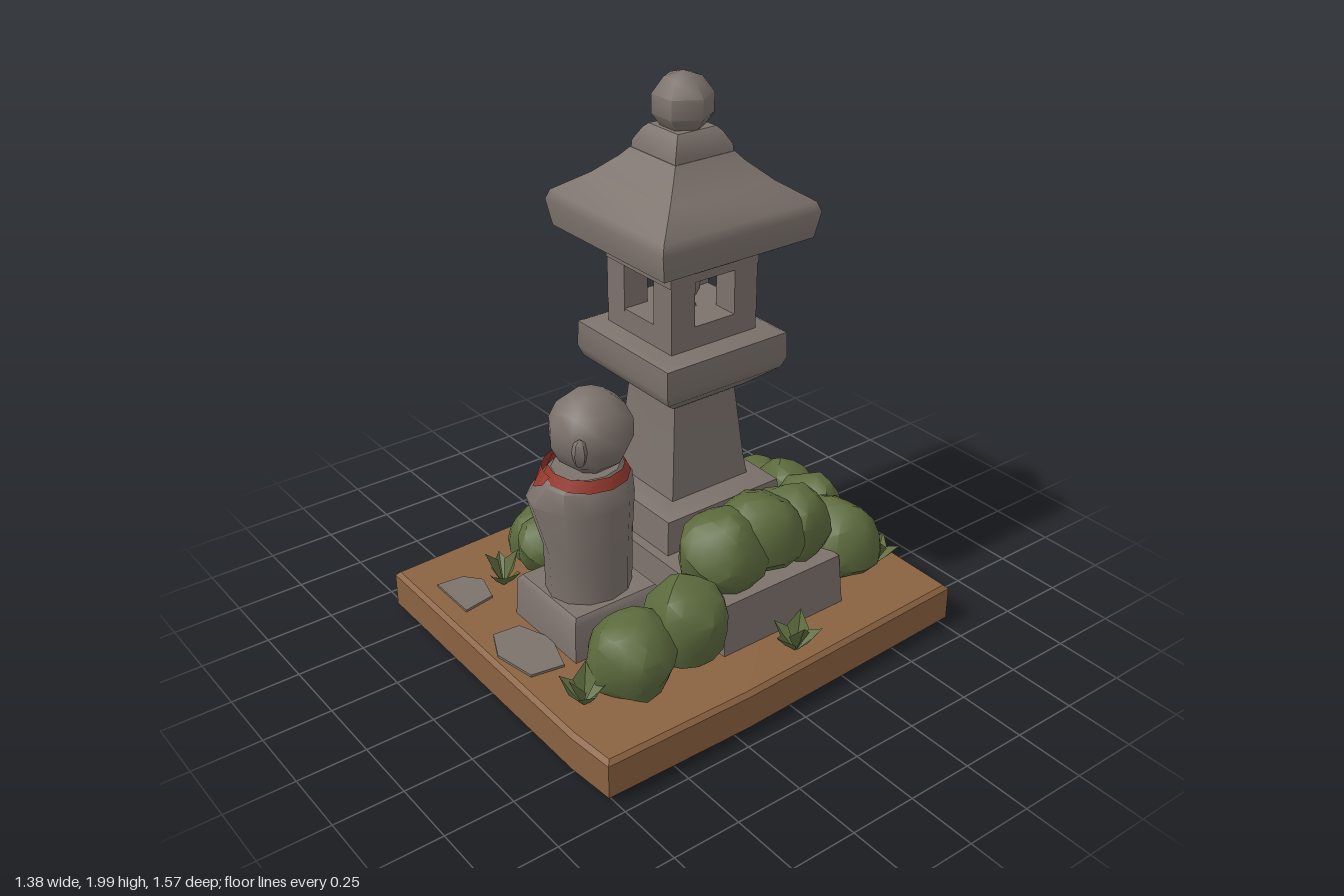
import * as THREE from 'three';
import { toCreasedNormals } from 'three/addons/utils/BufferGeometryUtils.js';

const stone = new THREE.MeshStandardMaterial({ color: 0x7c726c });
const leaf = new THREE.MeshStandardMaterial({ color: 0x5c6a3d });
const soil = new THREE.MeshStandardMaterial({ color: 0x8a6241 });
const cloth = new THREE.MeshStandardMaterial({ color: 0x95392d, side: THREE.DoubleSide });
const leafBlade = new THREE.MeshStandardMaterial({ color: 0x5c6a3d, side: THREE.DoubleSide });
stone.name = 'stone';
leaf.name = 'moss green';
soil.name = 'soil';
cloth.name = 'red cloth';
leafBlade.name = 'leaf blade';

const GROUND = 0.165;

export function createModel() {
  const model = new THREE.Group();
  model.name = 'gardenShrine';

  const add = (parent, name, geo, mat, x = 0, y = 0, z = 0, crease = 0.65) => {
    const mesh = new THREE.Mesh(toCreasedNormals(geo, crease), mat);
    mesh.name = name;
    mesh.position.set(x, y, z);
    parent.add(mesh);
    return mesh;
  };

  // Stack of square sections given as [half width, y]
  const squareStack = (sections) => {
    const pts = [[0, sections[0][1]], ...sections, [0, sections.at(-1)[1]]];
    return new THREE.LatheGeometry(
      pts.map(([h, y]) => new THREE.Vector2(h * Math.SQRT2, y)), 4, Math.PI / 4);
  };

  // Move every vertex by a rule
  const warp = (geo, rule) => {
    const p = geo.attributes.position;
    const v = new THREE.Vector3();
    for (let i = 0; i < p.count; i++) {
      rule(v.fromBufferAttribute(p, i));
      p.setXYZ(i, v.x, v.y, v.z);
    }
    return geo;
  };

  // Flat polygon with thickness, outline given as [x, z]
  const plate = (outline, height, bevel = 0) => {
    const shape = new THREE.Shape(outline.map(([x, z]) => new THREE.Vector2(x, -z)));
    return new THREE.ExtrudeGeometry(shape, {
      depth: height - 2 * bevel, bevelEnabled: bevel > 0, bevelSize: bevel,
      bevelThickness: bevel, bevelOffset: -bevel, bevelSegments: 1,
    }).rotateX(-Math.PI / 2).translate(0, bevel, 0);
  };

  // Soil base
  add(model, 'soilBase', plate([[-0.68, -0.72], [-0.15, -0.785], [0.65, -0.775], [0.69, 0.2],
    [0.685, 0.765], [0.5, 0.78], [-0.65, 0.775], [-0.69, -0.3]], 0.155, 0.015), soil, 0, 0.01, 0);

  // Flat stones set in the soil
  const pavers = [
    [[-0.63, -0.6], [-0.55, -0.64], [-0.42, -0.6], [-0.36, -0.54], [-0.46, -0.46], [-0.52, -0.4], [-0.59, -0.48]],
    [[-0.08, 0.6], [0.05, 0.55], [0.2, 0.6], [0.18, 0.72], [0.02, 0.75], [-0.09, 0.7]],
    [[-0.46, 0.6], [-0.4, 0.55], [-0.29, 0.58], [-0.27, 0.7], [-0.47, 0.7]],
    [[0.18, 0.2], [0.28, 0.42], [0.2, 0.42]],
  ];
  pavers.forEach((o) => add(model, 'flatStone', plate(o, 0.012), stone, 0, GROUND - 0.003, 0));

  // Stone steps under the lantern
  const slab = new THREE.BoxGeometry(0.98, 0.19, 0.54);
  warp(slab, (v) => { if (v.y > 0) { v.x *= 0.97; v.z *= 0.96; } });
  add(model, 'lowerStep', slab, stone, -0.005, 0.26, -0.13);
  add(model, 'upperStep', squareStack([[0.265, 0.33], [0.25, 0.48], [0.2, 0.5]]), stone, -0.155, 0, -0.17);
  add(model, 'stepMoss', plate([[-0.2, 0.1], [0.16, 0.1], [0.19, 0.18], [-0.17, 0.19]], 0.03), leaf, 0, GROUND, 0);

  // Lantern
  const lantern = new THREE.Group();
  lantern.name = 'lantern';
  lantern.position.set(-0.155, 0, -0.17);
  model.add(lantern);
  add(lantern, 'pillar', squareStack([[0.175, 0.47], [0.16, 0.58], [0.13, 0.9]]), stone);
  add(lantern, 'platform', squareStack([[0.125, 0.84], [0.16, 0.865], [0.25, 0.94],
    [0.265, 0.98], [0.262, 1.075], [0.24, 1.085]]), stone);
  add(lantern, 'fireBoxFloor', new THREE.BoxGeometry(0.365, 0.09, 0.37), stone, 0, 1.12, 0);
  add(lantern, 'fireBoxTop', new THREE.BoxGeometry(0.37, 0.11, 0.38), stone, 0, 1.385, 0);
  for (const sx of [-1, 1]) for (const sz of [-1, 1]) {
    add(lantern, 'cornerPost', new THREE.BoxGeometry(0.1, 0.18, 0.1), stone, sx * 0.134, 1.245, sz * 0.136);
  }
  add(lantern, 'innerStone', new THREE.IcosahedronGeometry(0.068, 1), stone, 0, 1.245, 0);
  add(lantern, 'innerFoot', new THREE.CylinderGeometry(0.04, 0.06, 0.06, 6), stone, 0, 1.18, 0);
  add(lantern, 'mossPatch', new THREE.BoxGeometry(0.008, 0.05, 0.19), leaf, 0.188, 1.39, 0.0);

  // Hipped roof with swept eaves, collar and finial
  add(lantern, 'roof', squareStack([[0.3, 1.425], [0.318, 1.435], [0.335, 1.53], [0.322, 1.565],
    [0.22, 1.635], [0.15, 1.7], [0.125, 1.73]]), stone, 0, 0, 0, 0.75);
  add(lantern, 'roofCollar', squareStack([[0.125, 1.7], [0.12, 1.755], [0.095, 1.8], [0.08, 1.815]]), stone);
  const finial = new THREE.SphereGeometry(0.115, 6, 5).scale(1, 0.96, 0.95);
  add(lantern, 'finial', finial, stone, 0.003, 1.89, 0, 1.1);

  // Small statue, turned towards its bib direction
  const statue = new THREE.Group();
  statue.name = 'statue';
  statue.position.set(0.04, 0, 0.38);
  model.add(statue);
  add(statue, 'pedestal', squareStack([[0.185, 0.165], [0.18, 0.31], [0.165, 0.33]]), stone, -0.015, 0, -0.005);
  const facing = -1.0;
  const body = new THREE.LatheGeometry([[0, 0.32], [0.14, 0.32], [0.143, 0.5], [0.152, 0.68], [0.145, 0.76],
    [0.11, 0.8], [0, 0.8]].map(([r, y]) => new THREE.Vector2(r, y)), 12);
  // Folded sleeves push the chest forward
  warp(body, (v) => {
    const front = v.x * Math.sin(facing) + v.z * Math.cos(facing);
    if (front > 0.08 && v.y > 0.6 && v.y < 0.72) {
      v.x += 0.05 * Math.sin(facing);
      v.z += 0.04 * Math.cos(facing);
    }
    v.z *= 1.1;
  });
  add(statue, 'body', body, stone, -0.005, 0, 0, 0.8);
  add(statue, 'head', new THREE.SphereGeometry(0.147, 9, 7), stone, 0.01, 0.932, -0.012, 1);
  for (const side of [-1, 1]) {
    const a = facing + side * 1.7;
    const ear = add(statue, 'ear', new THREE.SphereGeometry(0.035, 5, 4).scale(0.8, 1.5, 0.9), stone,
      0.015 + 0.14 * Math.sin(a), 0.92, -0.01 + 0.14 * Math.cos(a), 1);
    ear.rotation.y = a;
  }
  add(statue, 'neckBand', new THREE.CylinderGeometry(0.13, 0.148, 0.04, 12, 1, true), cloth, 0, 0.79, 0);
  // Bib drops to a point at the front
  const bib = new THREE.CylinderGeometry(0.145, 0.178, 0.02, 8, 1, true, facing - 1.05, 2.1);
  warp(bib, (v) => {
    if (v.y < 0) {
      const off = Math.abs(Math.atan2(v.x, v.z) - facing);
      v.y -= 0.1 * Math.max(0, 1 - off / 1.05);
    }
  });
  add(statue, 'bib', bib, cloth, -0.006, 0.792, 0.003, 1);

  // Rounded bushes made of lumpy mounds: centre x, y, z then radii
  const mounds = [
    [0.33, 0.46, 0.02, 0.15, 0.16, 0.16], [0.33, 0.48, -0.13, 0.15, 0.15, 0.17], [0.31, 0.45, -0.3, 0.15, 0.14, 0.14],
    [0.41, 0.32, 0.25, 0.15, 0.16, 0.14], [0.4, 0.27, 0.46, 0.155, 0.15, 0.15],
    [-0.42, 0.24, 0.26, 0.15, 0.12, 0.14], [-0.34, 0.26, 0.28, 0.11, 0.12, 0.14],
    [0.34, 0.32, -0.5, 0.165, 0.16, 0.14],
    [0.08, 0.28, -0.61, 0.14, 0.14, 0.11], [-0.09, 0.26, -0.63, 0.14, 0.13, 0.1], [-0.25, 0.22, -0.63, 0.13, 0.11, 0.1],
  ];
  mounds.forEach(([x, y, z, rx, ry, rz], i) => {
    const geo = warp(new THREE.IcosahedronGeometry(1, 2), (v) => {
      const k = 1 + 0.07 * Math.sin(4 * v.x + i * 2.1) * Math.cos(4.5 * v.z - i) + 0.05 * Math.sin(5 * v.y + 3 * v.x + i);
      v.multiplyScalar(k);
      v.set(v.x * rx, Math.max(v.y * ry, GROUND - y), v.z * rz);
    });
    add(model, 'bush', geo, leaf, x, y, z, 0.6);
  });

  // Leafy tufts: each a ring of folded, pointed blades
  const blade = new THREE.BufferGeometry();
  blade.setAttribute('position', new THREE.Float32BufferAttribute([
    0, 0, 0, 0.035, 0.075, 0.04, 0, 0.06, 0.06,
    0, 0, 0, 0, 0.06, 0.06, -0.035, 0.075, 0.04,
    0.035, 0.075, 0.04, 0, 0.12, 0.105, 0, 0.06, 0.06,
    -0.035, 0.075, 0.04, 0, 0.06, 0.06, 0, 0.12, 0.105], 3));
  const tufts = [[0.6, -0.08], [-0.6, -0.08], [-0.34, 0.5], [0.4, 0.66], [0.38, -0.66], [-0.35, -0.64]];
  tufts.forEach(([x, z], i) => {
    const tuft = new THREE.Group();
    tuft.name = 'leafTuft';
    tuft.position.set(x, GROUND - 0.005, z);
    for (let j = 0; j < 5; j++) {
      const b = add(tuft, 'leafBlade', blade, leafBlade);
      b.rotation.y = i * 0.9 + j * Math.PI * 0.4;
      b.scale.set(1.1, j % 2 ? 1.1 : 0.75, j % 2 ? 0.6 : 0.85);
    }
    model.add(tuft);
  });

  return model;
}
